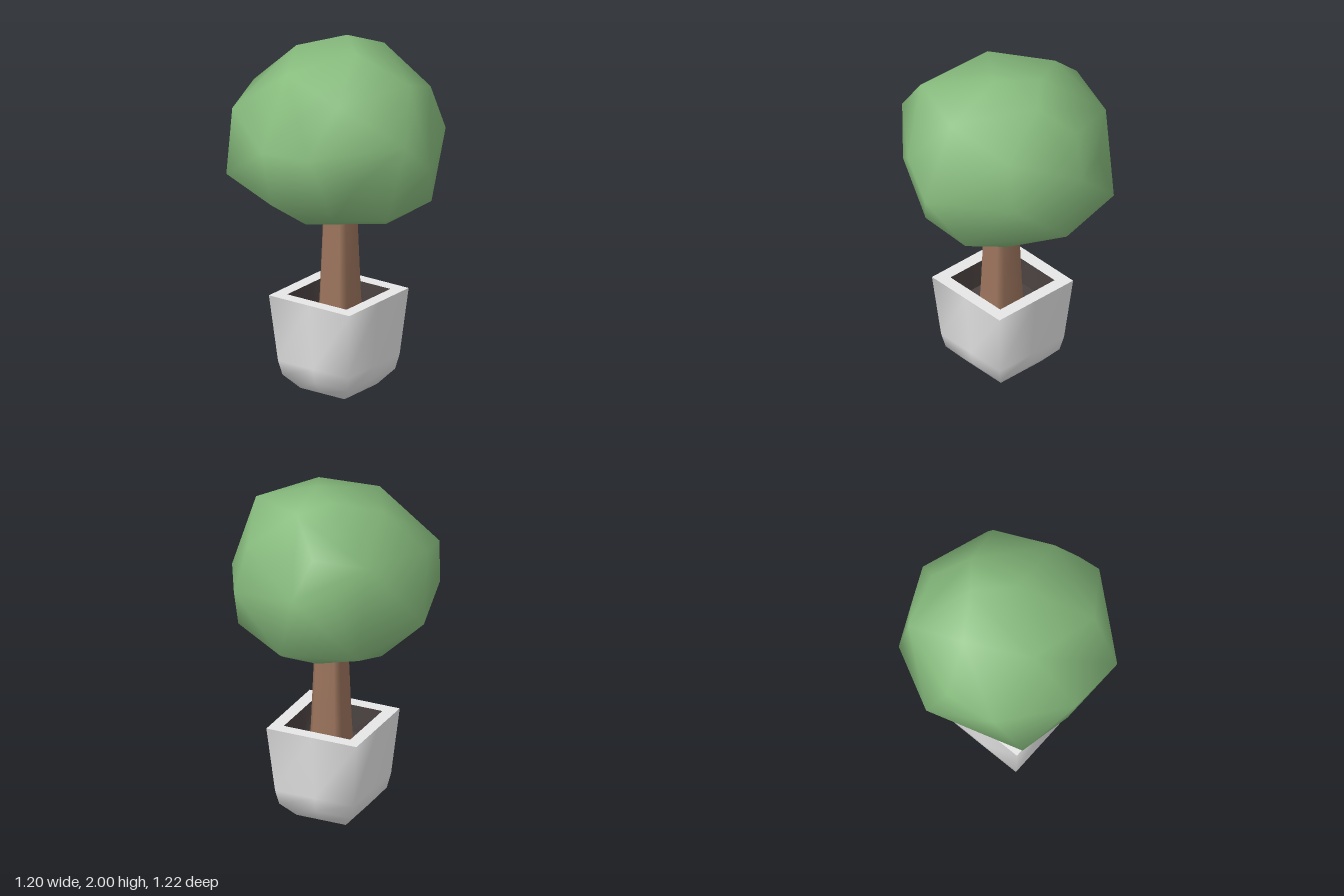
import * as THREE from 'three';
import { mergeVertices } from 'three/addons/utils/BufferGeometryUtils.js';
import { ConvexGeometry } from 'three/addons/geometries/ConvexGeometry.js';

// Outlines seen from above, running anticlockwise, within a unit square
const SQUARE = [[1, 1], [1, 0], [1, -1], [0, -1], [-1, -1], [-1, 0], [-1, 1], [0, 1]];
const CHAMFERED = [[1, 0.69], [1, -0.69], [0.69, -1], [-0.69, -1], [-1, -0.69], [-1, 0.69], [-0.69, 1], [0.69, 1]];

// Lofts an outline through rings given as [half width, height]
function loft(outline, rings) {
  const pos = [], index = [], n = outline.length;
  for (const [h, y] of rings) for (const [x, z] of outline) pos.push(x * h, y, z * h);
  for (let r = 0; r < rings.length - 1; r++) {
    for (let i = 0; i < n; i++) {
      const a = r * n + i, b = r * n + (i + 1) % n;
      index.push(a, b, b + n, a, b + n, a + n);
    }
  }
  const geo = new THREE.BufferGeometry();
  geo.setAttribute('position', new THREE.Float32BufferAttribute(pos, 3));
  geo.setIndex(index);
  geo.computeVertexNormals();
  return geo;
}

function material(name, color) {
  const m = new THREE.MeshStandardMaterial({ color });
  m.name = name;
  return m;
}

export function createModel() {
  const group = new THREE.Group();
  group.name = 'pottedTree';
  const stone = material('potGrey', 0xe6e6e6);
  const earth = material('soilDark', 0x4a4240);
  const bark = material('barkBrown', 0x9a735c);
  const leaf = material('leafGreen', 0x87bb7d);

  const add = (name, geo, mat, x = 0, z = 0) => {
    const mesh = new THREE.Mesh(geo, mat);
    mesh.name = name;
    mesh.position.set(x, 0, z);
    group.add(mesh);
  };

  // Square pot: softly shaded shell, flat rim, dark inside
  add('potShell', loft(SQUARE, [[0, 0], [0.152, 0], [0.224, 0.085], [0.242, 0.17], [0.278, 0.56]]), stone, -0.013);
  add('potRim', loft(SQUARE, [[0.278, 0.56], [0.205, 0.56]]), stone, -0.013);
  add('potInside', loft(SQUARE, [[0.205, 0.56], [0.2, 0.4]]), earth, -0.013);
  add('soil', loft(SQUARE, [[0.2, 0.4], [0, 0.4]]), earth, -0.013);

  // Tapered trunk with chamfered corners, reaching into the crown
  add('trunk', loft(CHAMFERED, [[0.102, 0.4], [0.094, 0.56], [0.079, 1.0], [0.076, 1.1]]), bark, -0.012, 0.01);

  // Irregular faceted crown with smooth shading
  const points = [
    // top
    [0.2, 2, -0.1], [0.02, 1.985, 0.09], [0.33, 1.95, 0.06], [0.05, 1.93, -0.34], [-0.3, 1.9, -0.15],
    [0.05, 1.865, 0.445], [-0.39, 1.83, 0.27],
    // shoulders
    [0.475, 1.765, -0.11], [0.39, 1.74, -0.41], [0.4, 1.73, 0.33], [-0.03, 1.7, -0.575], [-0.32, 1.63, -0.51],
    // middle
    [0.6, 1.55, -0.04], [0.505, 1.55, -0.25], [-0.6, 1.56, 0.22], [-0.165, 1.59, 0.575], [-0.58, 1.53, -0.11],
    [0.48, 1.47, 0.375], [0.015, 1.4, 0.61], [-0.38, 1.4, 0.415], [0.09, 1.31, -0.61], [-0.47, 1.3, -0.44],
    // underside
    [0.476, 1.205, -0.392], [0.57, 1.19, 0.05], [-0.51, 1.2, -0.1], [-0.42, 1.16, 0.26], [0.205, 1.14, 0.48],
    [-0.16, 1.12, 0.445], [-0.25, 1.13, -0.35], [0.07, 1.05, -0.34], [0, 1.03, 0.32],
    [0.24, 1.01, 0.19], [0.24, 1.01, -0.02], [-0.2, 0.995, -0.09],
  ].map((p) => new THREE.Vector3(...p));
  let crown = new ConvexGeometry(points);
  crown.deleteAttribute('normal');
  crown = mergeVertices(crown);
  crown.computeVertexNormals();
  add('crown', crown, leaf);

  return group;
}
